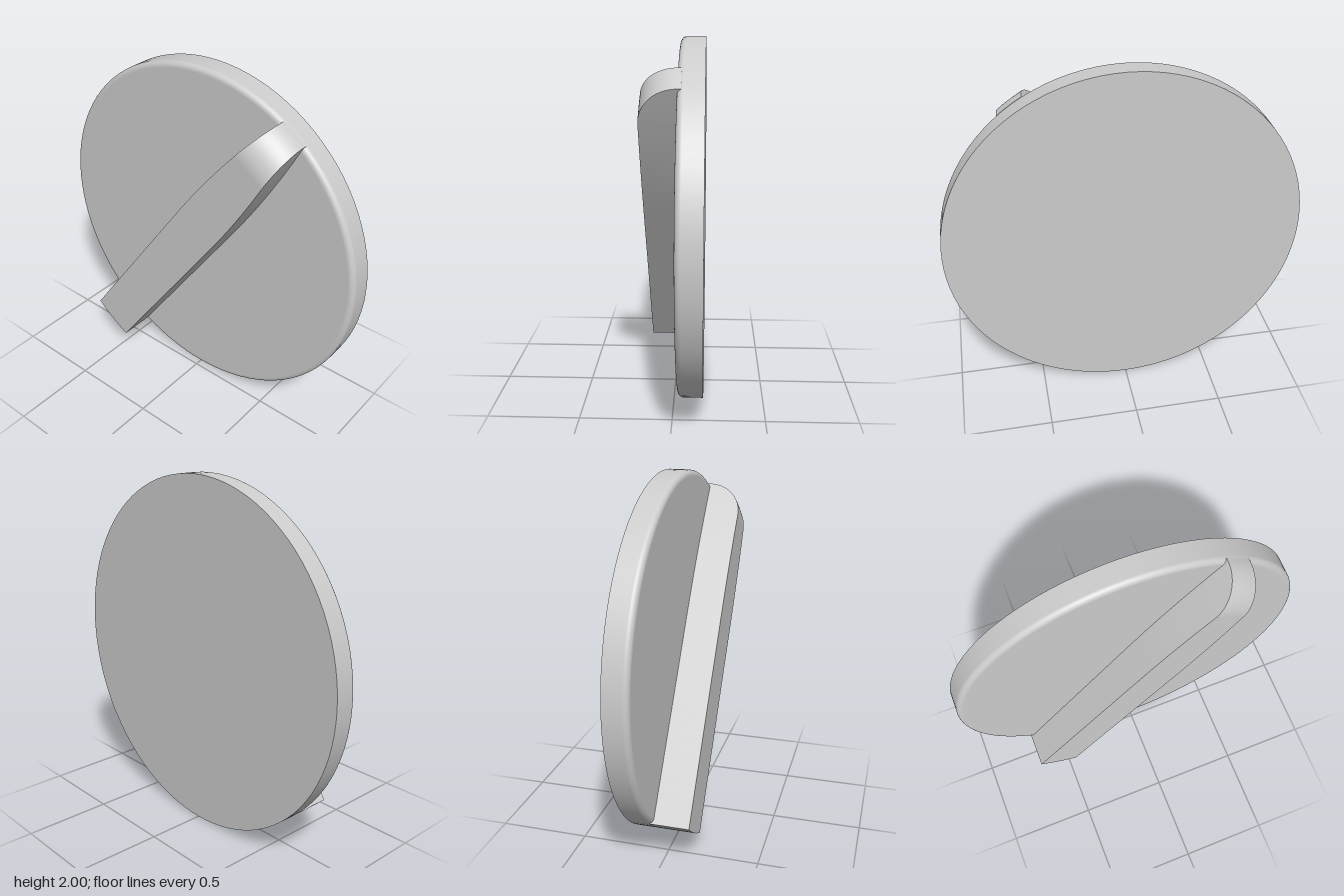
import * as THREE from 'three';

const BACK = -0.165, FACE = -0.03, CREST = 0.165, FILLET = 0.03;
const material = new THREE.MeshStandardMaterial({ color: 0xcccccc });

function part(name, geometry) {
  const mesh = new THREE.Mesh(geometry, material);
  mesh.name = name;
  return mesh;
}

// Round plate with a softened front rim
function createDisc() {
  const disc = new THREE.Group();
  disc.name = 'disc';

  const profile = [new THREE.Vector2(1, BACK)];
  for (let i = 0; i <= 8; i++) {
    const t = (i / 8) * Math.PI / 2;
    profile.push(new THREE.Vector2(
      1 - FILLET + FILLET * Math.cos(t),
      FACE - FILLET + FILLET * Math.sin(t)));
  }
  const rim = part('rim', new THREE.LatheGeometry(profile, 96));
  rim.rotation.x = Math.PI / 2;

  const front = part('frontFace', new THREE.CircleGeometry(1 - FILLET, 96));
  front.position.z = FACE;
  const back = part('backFace', new THREE.CircleGeometry(1, 96));
  back.position.z = BACK;
  back.rotation.y = Math.PI;

  disc.add(rim, front, back);
  return disc;
}

// Finger grip: a bar across the disc, narrowing and rounding down at one end
function createGrip() {
  const geometry = new THREE.BoxGeometry(1, 1, 1, 48, 8, 1);
  const pos = geometry.attributes.position;
  for (let i = 0; i < pos.count; i++) {
    const u = pos.getX(i) * 2;                 // -1 to 1 along the bar
    const turn = Math.max(u, 0) * Math.PI / 2; // quarter round on the far half
    const s = u < 0 ? 0.8 + 1.8 * u : 0.8 + 0.2 * Math.sin(turn);
    const top = FACE + (CREST - FACE) * Math.cos(turn);
    const taper = Math.max(0, (s - 0.2) / 0.8);
    const across = pos.getY(i) * 2 * (0.135 - 0.055 * taper * taper);
    // Ends follow the circle of the disc
    pos.setXYZ(i, s * Math.sqrt(1 - across * across), across,
      pos.getZ(i) > 0 ? top : FACE - 0.02);
  }
  geometry.computeVertexNormals();
  const grip = part('grip', geometry);
  grip.rotation.z = THREE.MathUtils.degToRad(55);
  return grip;
}

export function createModel() {
  const model = new THREE.Group();
  model.name = 'rotaryKnob';
  model.add(createDisc(), createGrip());
  model.children.forEach((child) => { child.position.y = 1; });
  return model;
}
